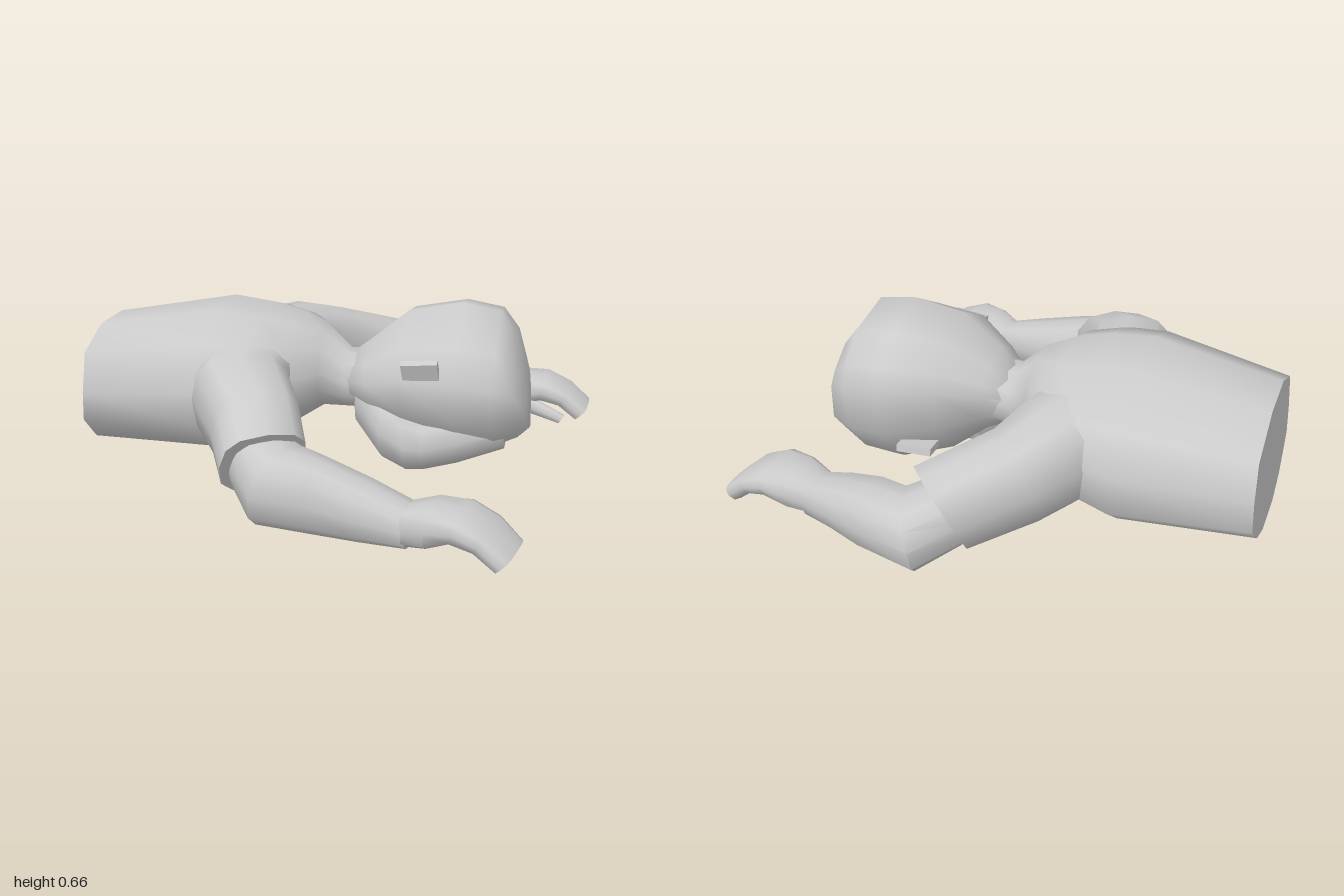
import * as THREE from 'three';
import { toCreasedNormals } from 'three/addons/utils/BufferGeometryUtils.js';

const material = new THREE.MeshStandardMaterial({ color: 0xcccccc });
const RAD = Math.PI / 180;

// Unit outline as [across, up] pairs; a lower power is boxier
function roundOutline(sides, power) {
  const soft = (v) => Math.sign(v) * Math.abs(v) ** power;
  return Array.from({ length: sides }, (_, i) => {
    const a = (i / sides) * Math.PI * 2;
    return [soft(Math.cos(a)), soft(Math.sin(a))];
  });
}

// Skin through rings [x, y, z, halfWidth, halfHeight, yaw, downPitch], travelling along +x at yaw 0
function loft(name, rings, outline) {
  const n = outline.length, pos = [], index = [];
  for (const [x, y, z, w, h, yaw = 0, pitch = 0] of rings) {
    const cy = Math.cos(yaw * RAD), sy = Math.sin(yaw * RAD);
    const cp = Math.cos(pitch * RAD), sp = Math.sin(pitch * RAD);
    for (const [a, b] of outline) {
      pos.push(x - sy * a * w + sp * cy * b * h, y + cp * b * h, z + cy * a * w + sp * sy * b * h);
    }
  }
  const last = (rings.length - 1) * n, start = rings.length * n;
  pos.push(...rings[0].slice(0, 3), ...rings[rings.length - 1].slice(0, 3));
  for (let j = 0; j < n; j++) {
    const k = (j + 1) % n;
    for (let i = 0; i < last; i += n) {
      index.push(i + j, i + n + j, i + k, i + k, i + n + j, i + n + k);
    }
    index.push(start, j, k, start + 1, last + k, last + j);
  }
  const geo = new THREE.BufferGeometry();
  geo.setAttribute('position', new THREE.Float32BufferAttribute(pos, 3));
  geo.setIndex(index);
  const mesh = new THREE.Mesh(toCreasedNormals(geo, 1.1), material);
  mesh.name = name;
  return mesh;
}

const limbOutline = roundOutline(12, 0.72);

// Curled hand reaching along +x from the wrist; side puts the thumb on +z or -z
function hand(name, x, z, yaw, side) {
  const group = new THREE.Group();
  group.name = name;
  group.add(loft('palmAndFingers', [
    [-0.03, 0.11, 0, 0.075, 0.068],
    [0.09, 0.14, 0, 0.112, 0.075],
    [0.19, 0.16, 0, 0.126, 0.052, 0, 10],
    [0.28, 0.13, 0, 0.12, 0.042, 0, 32],
    [0.36, 0.064, 0, 0.108, 0.04, 0, 45],
  ], roundOutline(12, 0.6)));
  group.add(loft('thumb', [
    [0.06, 0.11, side * 0.06, 0.035, 0.045],
    [0.17, 0.085, side * 0.104, 0.03, 0.035, 0, 25],
    [0.28, 0.045, side * 0.108, 0.024, 0.024, 0, 35],
  ], roundOutline(8, 0.85)));
  group.position.set(x, 0, z);
  group.rotation.y = -yaw * RAD;
  return group;
}

function ear(name, x, y, z, lean) {
  const mesh = new THREE.Mesh(new THREE.BoxGeometry(0.14, 0.11, 0.03), material);
  mesh.name = name;
  mesh.position.set(x, y, z);
  mesh.rotation.set(lean, 0, 0.1);
  return mesh;
}

export function createModel() {
  const model = new THREE.Group();
  model.name = 'lyingFigure';

  // Torso from waist to neck: broad back, narrower belly
  const torsoOutline = [
    [1, 0.1], [0.9, 0.72], [0.4, 1], [-0.25, 0.97], [-0.88, 0.64], [-1, 0.1],
    [-1, -0.4], [-0.65, -0.82], [-0.3, -1], [0.3, -1], [0.65, -0.8], [1, -0.35],
  ];
  model.add(loft('torso', [
    [-0.99, 0.285, -0.09, 0.35, 0.257, 0, 2],
    [-0.48, 0.33, -0.11, 0.435, 0.3],
    [-0.3, 0.355, -0.1, 0.42, 0.255],
    [-0.17, 0.375, -0.09, 0.345, 0.21],
    [-0.06, 0.39, -0.08, 0.18, 0.16],
    [0.04, 0.345, -0.07, 0.135, 0.115],
    [0.18, 0.35, -0.07, 0.14, 0.12],
  ], torsoOutline));

  // Head, rolled so that the face looks down and to its left
  const headOutline = [
    [1, 0.2], [0.81, 0.62], [0.15, 1], [-0.56, 0.86], [-0.88, 0.53], [-1, 0.29],
    [-0.94, -0.35], [-0.56, -0.86], [-0.37, -1], [0.44, -0.71], [0.97, -0.26],
  ];
  model.add(loft('head', [
    [0.04, 0.345, -0.07, 0.12, 0.1],
    [0.14, 0.35, -0.05, 0.19, 0.165, 0, -6],
    [0.28, 0.375, -0.075, 0.29, 0.27],
    [0.49, 0.36, -0.095, 0.325, 0.325],
    [0.64, 0.35, -0.095, 0.31, 0.31],
    [0.72, 0.335, -0.095, 0.275, 0.235, 0, -4],
    [0.765, 0.29, -0.07, 0.15, 0.13, 0, -4],
  ], headOutline));
  model.add(loft('jawAndChin', [
    [0.09, 0.28, -0.02, 0.12, 0.1],
    [0.2, 0.205, 0.025, 0.16, 0.145],
    [0.3, 0.155, 0.06, 0.15, 0.128],
    [0.37, 0.145, 0.06, 0.135, 0.115],
    [0.5, 0.17, 0.02, 0.15, 0.115],
    [0.68, 0.19, -0.05, 0.12, 0.09],
  ], roundOutline(10, 0.85)));
  model.add(ear('leftEar', 0.365, 0.463, 0.206, 0.35));
  model.add(ear('rightEar', 0.365, 0.185, -0.335, -1.4));

  // Left arm
  model.add(loft('leftSleeve', [
    [-0.33, 0.36, 0.05, 0.2, 0.19, 75, 10],
    [-0.32, 0.352, 0.29, 0.19, 0.208, 68, 18],
    [-0.215, 0.3, 0.465, 0.17, 0.185, 62, 26],
    [-0.145, 0.23, 0.62, 0.162, 0.158, 60, 30],
  ], limbOutline));
  model.add(loft('leftArm', [
    [-0.2, 0.245, 0.55, 0.12, 0.125, 60, 30],
    [-0.07, 0.18, 0.69, 0.15, 0.148, 30, 12],
    [0.05, 0.165, 0.7, 0.124, 0.135, 5, 8],
    [0.25, 0.135, 0.735, 0.108, 0.105, 8, 5],
    [0.42, 0.11, 0.77, 0.085, 0.075, 10, 0],
  ], limbOutline));
  model.add(hand('leftHand', 0.41, 0.77, 12, -1));

  // Right arm, reaching further forward
  model.add(loft('rightSleeve', [
    [-0.33, 0.37, -0.2, 0.2, 0.19, -55, 5],
    [-0.23, 0.352, -0.42, 0.2, 0.19, -45, 12],
    [-0.145, 0.315, -0.57, 0.165, 0.175, -40, 18],
    [0.075, 0.24, -0.755, 0.165, 0.162, -42, 26],
  ], limbOutline));
  model.add(loft('rightArm', [
    [0.02, 0.235, -0.7, 0.12, 0.125, -42, 28],
    [0.17, 0.165, -0.815, 0.152, 0.136, -20, 8],
    [0.35, 0.15, -0.755, 0.13, 0.12, 10, 5],
    [0.5, 0.13, -0.705, 0.112, 0.095, 12, 4],
    [0.64, 0.11, -0.675, 0.088, 0.075, 8, 0],
  ], limbOutline));
  model.add(hand('rightHand', 0.62, -0.672, 4, 1));

  return model;
}
